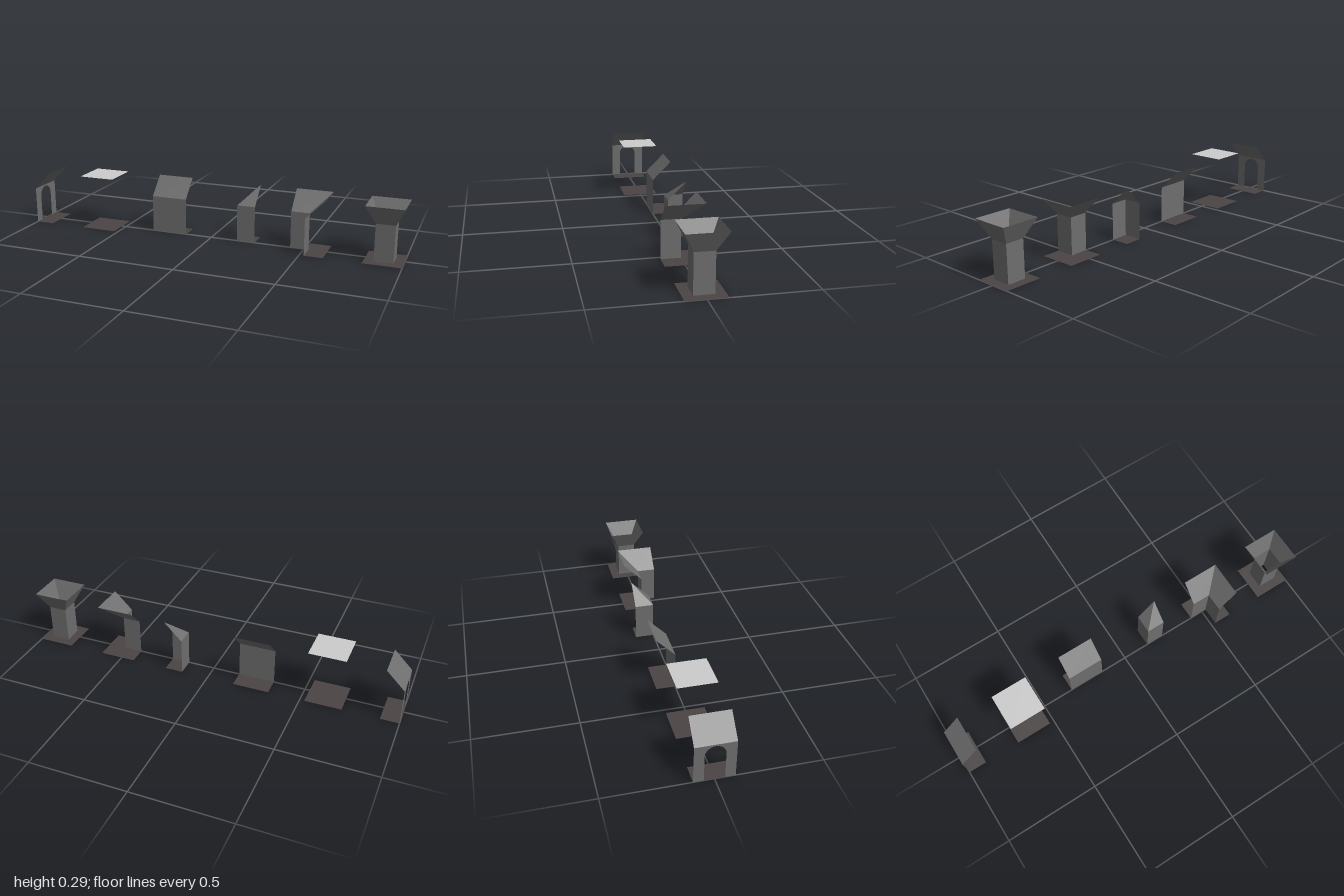
import * as THREE from 'three';

const C = 2 / 10.5;        // tile size
const H = C / 2;           // half tile
const Q = C / 4;           // quarter tile
const WALL = C, TOP = C * 1.5;

const mat = (name, color) => {
  const m = new THREE.MeshStandardMaterial({ color, side: THREE.DoubleSide });
  m.name = name;
  return m;
};

export function createModel() {
  const stone = mat('wall grey', 0x6e6e6e);
  const floorMat = mat('floor dark grey', 0x4a4444);
  const ceilingMat = mat('ceiling light grey', 0xcccccc);

  const model = new THREE.Group();
  model.name = 'tunnelTileSet';

  // Tiles stand in a row, two tile widths apart
  const tile = (name, index) => {
    const g = new THREE.Group();
    g.name = name;
    g.position.x = -1 + index * 2 * C;
    model.add(g);
    return g;
  };

  const add = (group, name, geo, material) => {
    const mesh = new THREE.Mesh(geo, material);
    mesh.name = name;
    group.add(mesh);
    return mesh;
  };

  // Flat convex panel from its corners
  const panel = (group, name, corners, material = stone) => {
    const pos = [];
    for (let i = 1; i < corners.length - 1; i++) pos.push(...corners[0], ...corners[i], ...corners[i + 1]);
    const geo = new THREE.BufferGeometry();
    geo.setAttribute('position', new THREE.Float32BufferAttribute(pos, 3));
    geo.computeVertexNormals();
    return add(group, name, geo, material);
  };

  // Upright wall between two ground points [x, z]
  const wall = (group, [ax, az], [bx, bz]) =>
    panel(group, 'wall', [[ax, 0, az], [bx, 0, bz], [bx, WALL, bz], [ax, WALL, az]]);

  // Sloped panel: low edge on the wall top, high edge (or point) at full height
  const slope = (group, low, high) =>
    panel(group, 'slope', [...low.map(([x, z]) => [x, WALL, z]), ...high.map(([x, z]) => [x, TOP, z])]);

  // Horizontal surface from an outline in [x, z], with optional hole
  const outline = (Type, pts) => new Type(pts.map(([x, z]) => new THREE.Vector2(x, -z)));
  const flat = (group, name, pts, y, material, hole) => {
    const shape = outline(THREE.Shape, pts);
    if (hole) shape.holes.push(outline(THREE.Path, hole));
    const geo = new THREE.ShapeGeometry(shape).rotateX(-Math.PI / 2).translate(0, y, 0);
    return add(group, name, geo, material);
  };

  const square = (r) => [[-r, r], [r, r], [r, -r], [-r, -r]];

  // Doorway: wall with arched opening
  const door = tile('doorway', 0);
  const arch = new THREE.Shape();
  const spring = 0.135;
  arch.moveTo(-H, 0);
  arch.lineTo(-Q, 0);
  arch.lineTo(-Q, spring);
  arch.absarc(0, spring, Q, Math.PI, 0, true);
  arch.lineTo(Q, 0);
  arch.lineTo(H, 0);
  arch.lineTo(H, WALL);
  arch.lineTo(-H, WALL);
  add(door, 'archedWall', new THREE.ShapeGeometry(arch, 8).rotateY(Math.PI / 2), stone);
  slope(door, [[0, -H], [0, H]], [[H, H], [H, -H]]);
  flat(door, 'floor', [[0, H], [H, H], [H, -H], [0, -H]], 0, floorMat);

  // Open tile: floor and ceiling
  const open = tile('openTile', 1);
  flat(open, 'floor', square(H), 0, floorMat);
  flat(open, 'ceiling', square(H), TOP, ceilingMat);

  // Straight wall
  const straight = tile('straightWall', 2);
  wall(straight, [-H, 0], [H, 0]);
  slope(straight, [[-H, 0], [H, 0]], [[H, -H], [-H, -H]]);
  flat(straight, 'floor', [[-H, 0], [H, 0], [H, -H], [-H, -H]], 0, floorMat);

  // Corner enclosing a quarter tile of floor
  const small = tile('quarterCorner', 3);
  wall(small, [0, 0], [H, 0]);
  wall(small, [0, -H], [0, 0]);
  slope(small, [[0, 0], [H, 0]], [[H, -H]]);
  slope(small, [[0, -H], [0, 0]], [[H, -H]]);
  flat(small, 'floor', [[0, 0], [H, 0], [H, -H], [0, -H]], 0, floorMat);

  // Corner with L-shaped floor
  const large = tile('threeQuarterCorner', 4);
  wall(large, [-H, 0], [0, 0]);
  wall(large, [0, 0], [0, H]);
  slope(large, [[-H, 0], [0, 0]], [[H, -H], [-H, -H]]);
  slope(large, [[0, 0], [0, H]], [[H, H], [H, -H]]);
  flat(large, 'floor', [[-H, 0], [0, 0], [0, H], [H, H], [H, -H], [-H, -H]], 0, floorMat);

  // Hollow pillar with flared top
  const pillar = tile('pillar', 5);
  const inner = square(Q), outer = square(H);
  for (let i = 0; i < 4; i++) {
    const j = (i + 1) % 4;
    wall(pillar, inner[i], inner[j]);
    slope(pillar, [inner[i], inner[j]], [outer[j], outer[i]]);
  }
  flat(pillar, 'floor', outer, 0, floorMat, inner);

  return model;
}
